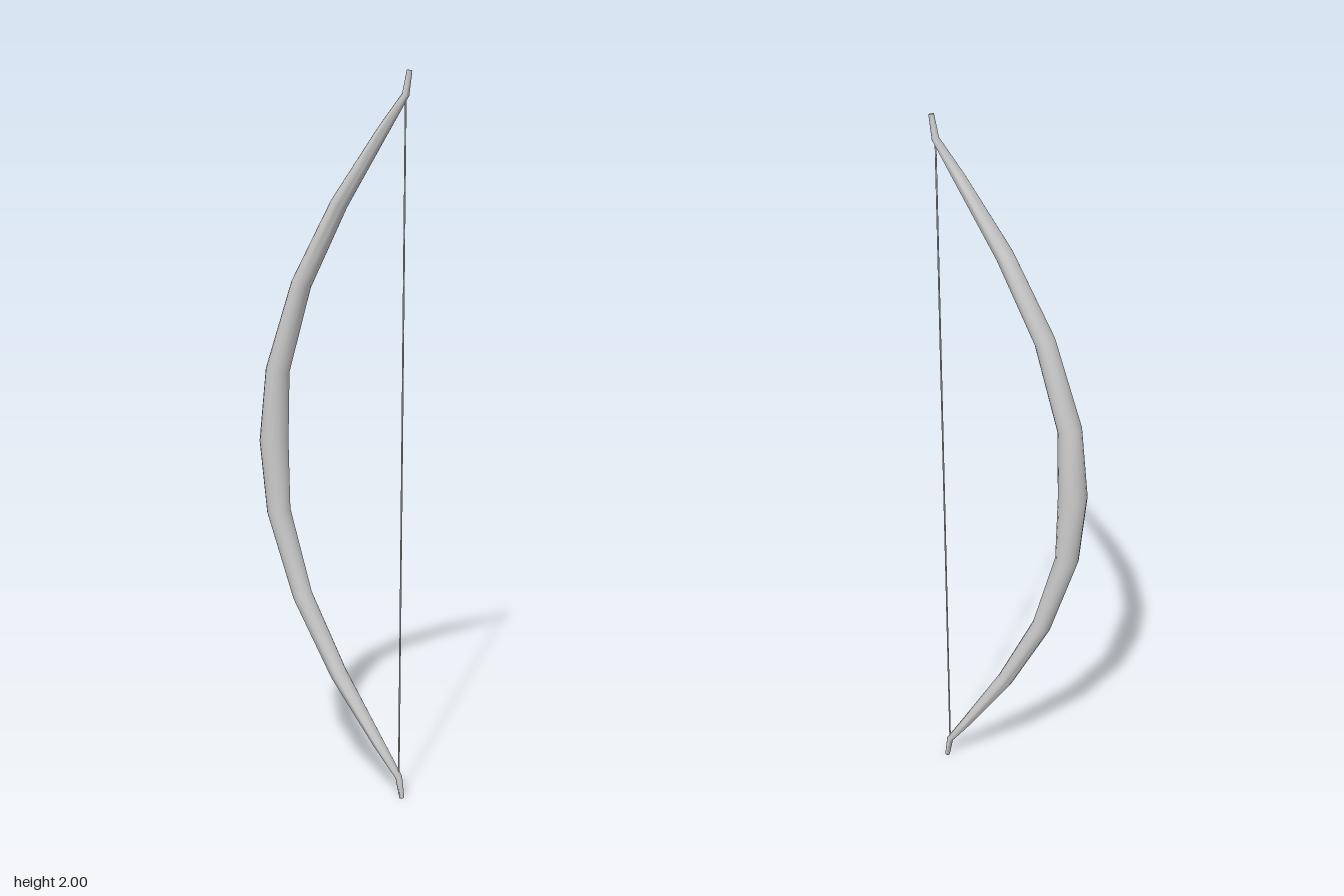
import * as THREE from 'three';
import { toCreasedNormals } from 'three/addons/utils/BufferGeometryUtils.js';

const SIDES = 16;

// Upper half of the bow: centre x, height above the grip, half depth, half width
const HALF = [
  [-0.182, 0, 0.04, 0.042],
  [-0.169, 0.2, 0.0325, 0.036],
  [-0.096, 0.44, 0.027, 0.0315],
  [0.016, 0.658, 0.0225, 0.0285],
  [0.14, 0.848, 0.015, 0.019],
  [0.202, 0.938, 0.0095, 0.011],
  [0.212, 0.999, 0.007, 0.0075],
];

// Closed skin over elliptical sections set square to the path
function loftBow(stations) {
  const pos = [], index = [];
  const last = stations.length - 1;
  const dir = (a, b) => new THREE.Vector2(b[0] - a[0], b[1] - a[1]).normalize();
  stations.forEach((s, i) => {
    const t = new THREE.Vector2();
    if (i > 0) t.add(dir(stations[i - 1], s));
    if (i < last) t.add(dir(s, stations[i + 1]));
    t.normalize();
    for (let j = 0; j < SIDES; j++) {
      const a = (j / SIDES) * Math.PI * 2;
      const u = Math.cos(a) * s[2];
      pos.push(s[0] + t.y * u, s[1] - t.x * u, Math.sin(a) * s[3]);
    }
  });
  for (let i = 0; i < last; i++) {
    for (let j = 0; j < SIDES; j++) {
      const k = (j + 1) % SIDES;
      const a = i * SIDES + j, b = i * SIDES + k;
      const c = a + SIDES, d = b + SIDES;
      index.push(a, c, b, b, c, d);
    }
  }
  // Flat nock ends
  const top = last * SIDES;
  for (let j = 1; j < SIDES - 1; j++) {
    index.push(0, j, j + 1, top, top + j + 1, top + j);
  }
  const geo = new THREE.BufferGeometry();
  geo.setAttribute('position', new THREE.Float32BufferAttribute(pos, 3));
  geo.setIndex(index);
  return toCreasedNormals(geo, 0.9);
}

export function createModel() {
  const group = new THREE.Group();
  group.name = 'bow';
  const material = new THREE.MeshStandardMaterial({ color: 0xcccccc });

  // Limbs and grip in one piece, the lower half mirrored from the upper
  const upper = HALF.map(([x, y, rx, rz]) => [x, 1 + y, rx, rz]);
  const lower = HALF.slice(1).reverse().map(([x, y, rx, rz]) => [x, 1 - y, rx, rz]);
  const stave = new THREE.Mesh(loftBow([...lower, ...upper]), material);
  stave.name = 'stave';
  group.add(stave);

  // Bowstring between the two nocks
  const string = new THREE.Mesh(new THREE.CylinderGeometry(0.0025, 0.0025, 1.88, 8), material);
  string.name = 'bowstring';
  string.position.set(0.202, 1, 0);
  group.add(string);

  return group;
}
